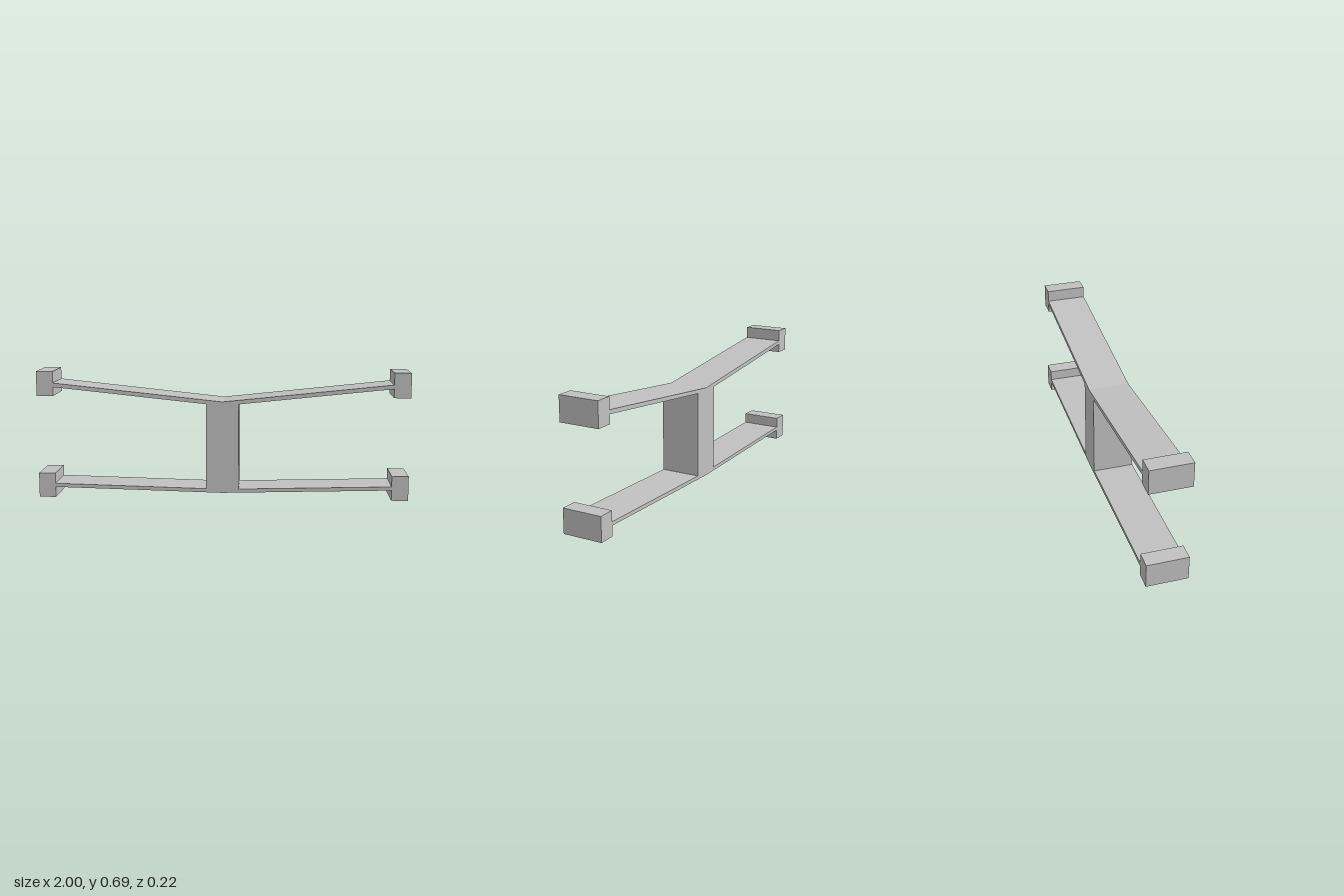
import * as THREE from 'three';

const DEPTH = 0.22;
const INNER = 0.91; // inner face of the end blocks
const POST = 0.088; // half width of the post

// Extrude a front outline through the full depth, centred on z = 0
function extrude(name, points, material) {
  const shape = new THREE.Shape(points.map(([x, y]) => new THREE.Vector2(x, y)));
  const geometry = new THREE.ExtrudeGeometry(shape, { depth: DEPTH, bevelEnabled: false });
  geometry.translate(0, 0, -DEPTH / 2);
  const mesh = new THREE.Mesh(geometry, material);
  mesh.name = name;
  return mesh;
}

export function createModel() {
  const model = new THREE.Group();
  model.name = 'doubleBeamFrame';
  const grey = new THREE.MeshStandardMaterial({ color: 0xc0c0c0 });
  grey.name = 'light grey';

  // Shallow V-shaped beams: undersides at the centre and at the ends, and thickness
  const lower = { name: 'lowerBeam', mid: 0.033, end: 0.056, thick: 0.02 };
  const upper = { name: 'upperBeam', mid: 0.508, end: 0.604, thick: 0.022 };
  const underside = (b, x) => b.mid + (b.end - b.mid) * x / INNER;
  for (const b of [lower, upper]) {
    model.add(extrude(b.name, [
      [-INNER, b.end], [0, b.mid], [INNER, b.end],
      [INNER, b.end + b.thick], [0, b.mid + b.thick], [-INNER, b.end + b.thick],
    ], grey));
  }

  // Central post, its ends cut to meet both beams
  const foot = underside(lower, POST) + lower.thick;
  const head = underside(upper, POST);
  model.add(extrude('centrePost', [
    [-POST, foot], [0, lower.mid + lower.thick], [POST, foot],
    [POST, head], [0, upper.mid], [-POST, head],
  ], grey));

  // End blocks
  const blockGeometry = new THREE.BoxGeometry(1 - INNER, 0.133, DEPTH);
  for (const [level, y] of [['lower', 0.0665], ['upper', 0.6225]]) {
    for (const side of [1, -1]) {
      const block = new THREE.Mesh(blockGeometry, grey);
      block.name = level + (side > 0 ? 'LeftEndBlock' : 'RightEndBlock');
      block.position.set(side * (1 + INNER) / 2, y, 0);
      model.add(block);
    }
  }
  return model;
}
